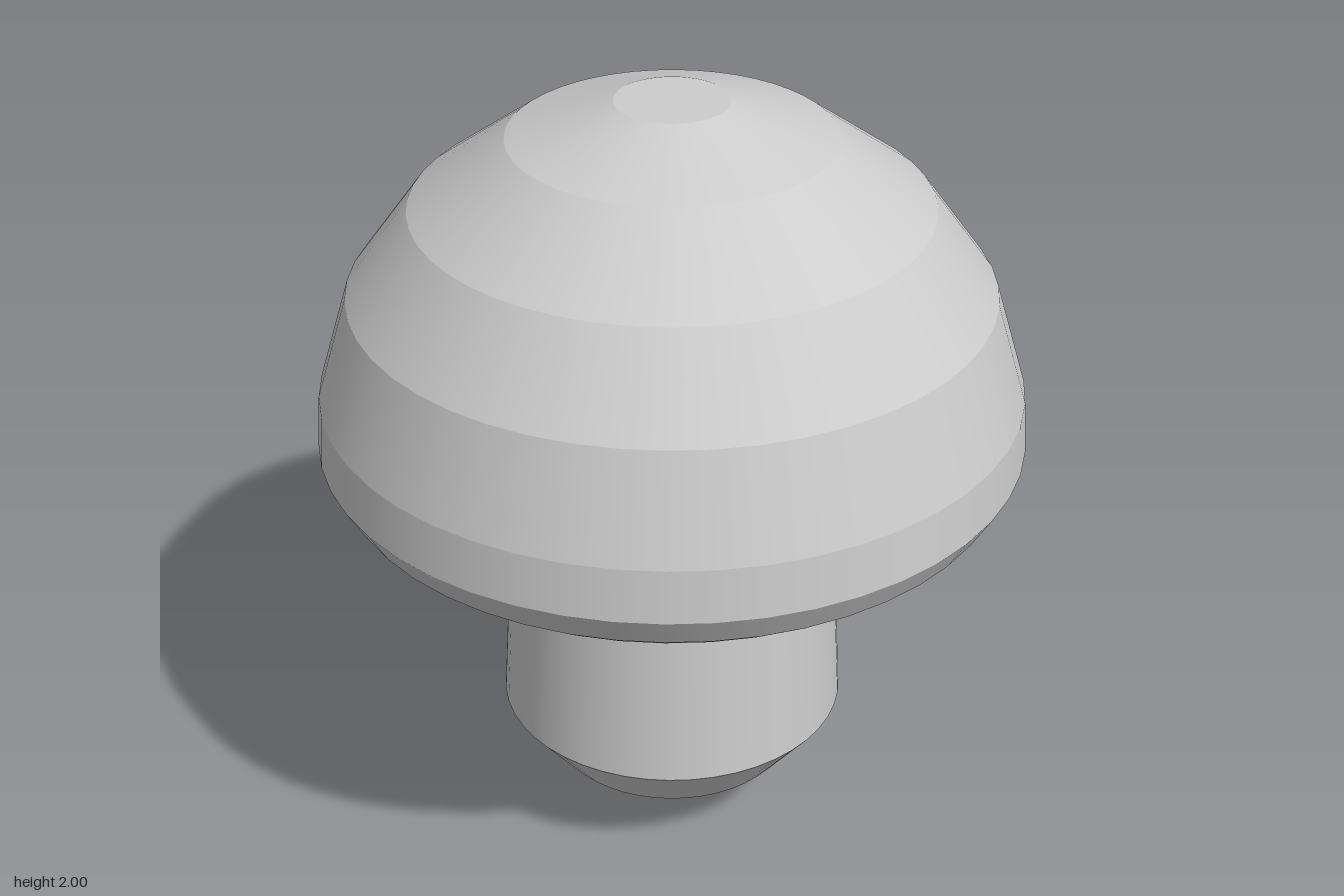
import * as THREE from 'three';
import { mergeGeometries } from 'three/addons/utils/BufferGeometryUtils.js';

// Lathe each profile step on its own: smooth around, crisp between bands
function bandedLathe(profile, segments = 48) {
  const points = profile.map(([r, y]) => new THREE.Vector2(r, y));
  const bands = [];
  for (let i = 0; i < points.length - 1; i++) {
    bands.push(new THREE.LatheGeometry([points[i], points[i + 1]], segments));
  }
  return mergeGeometries(bands);
}

export function createModel() {
  const group = new THREE.Group();
  const grey = new THREE.MeshStandardMaterial({ color: 0xcccccc });
  grey.name = 'plain grey';

  // Cap: stepped underside from the stem outwards, rolled rim, then the dome
  const cap = new THREE.Mesh(bandedLathe([
    [0.38, 1.12], [0.45, 1.11], [0.52, 1.04], [0.64, 1.11], [0.72, 1.01],
    [0.8, 1.0], [0.84, 1.03], [0.89, 1.115], [0.88, 1.25], [0.8, 1.515],
    [0.64, 1.735], [0.4, 1.91], [0.14, 2.0], [0, 2.0],
  ]), grey);
  cap.name = 'cap';

  // Stem: rounded foot and a shaft tapering up into the cap
  const stem = new THREE.Mesh(bandedLathe([
    [0, 0], [0.16, 0.045], [0.32, 0.165], [0.447, 0.325], [0.4, 1.14],
  ]), grey);
  stem.name = 'stem';

  group.add(cap, stem);
  return group;
}
